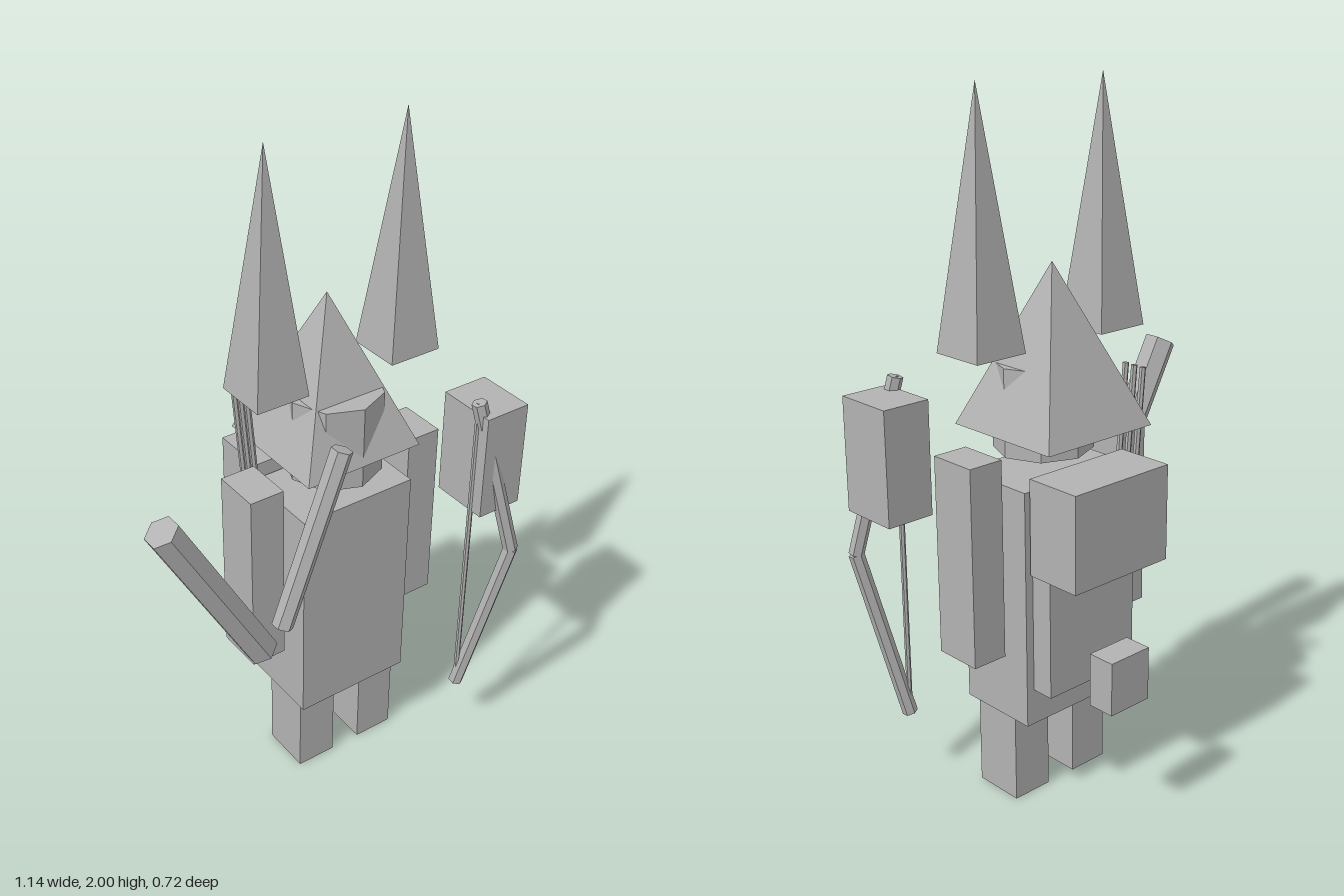
import * as THREE from 'three';

const stone = new THREE.MeshStandardMaterial({ color: 0xb2b2b2 });
stone.name = 'stone grey';

export function createModel() {
  const model = new THREE.Group();
  model.name = 'archer';
  const midX = 0.117; // the body's own centre line

  // Adds a mesh with faceted normals
  const add = (name, geometry) => {
    const flat = geometry.index ? geometry.toNonIndexed() : geometry;
    flat.computeVertexNormals();
    const mesh = new THREE.Mesh(flat, stone);
    mesh.name = name;
    model.add(mesh);
    return mesh;
  };

  // Box given by its extents on each axis
  const box = (name, [x0, x1], [y0, y1], [z0, z1]) =>
    add(name, new THREE.BoxGeometry(x1 - x0, y1 - y0, z1 - z0))
      .position.set((x0 + x1) / 2, (y0 + y1) / 2, (z0 + z1) / 2);

  // Square pyramid standing on y0
  const pyramid = (name, x, z, half, y0, y1) =>
    add(name, new THREE.ConeGeometry(half * Math.SQRT2, y1 - y0, 4).rotateY(Math.PI / 4))
      .position.set(x, (y0 + y1) / 2, z);

  // Six-sided rod between two points
  const rod = (name, from, to, radius) => {
    const a = new THREE.Vector3(...from), b = new THREE.Vector3(...to);
    const dir = b.clone().sub(a);
    const mesh = add(name, new THREE.CylinderGeometry(radius, radius, dir.length(), 6));
    mesh.position.copy(a).add(b).multiplyScalar(0.5);
    mesh.quaternion.setFromUnitVectors(new THREE.Vector3(0, 1, 0), dir.normalize());
  };

  // Torso, head and hat
  box('torso', [-0.069, 0.299], [0.265, 0.955], [-0.097, 0.155]);
  add('head', new THREE.CylinderGeometry(0.138, 0.138, 0.248, 8)).position.set(midX, 1.134, 0.029);
  pyramid('hat', midX, -0.011, 0.187, 1.083, 1.53);

  // Limbs and ears, one of each per side
  for (const [side, s] of [['left', 1], ['right', -1]]) {
    const span = (centre, half) => [midX + s * centre - half, midX + s * centre + half];
    box(side + 'Leg', span(0.11, 0.062), [0, 0.265], [-0.033, 0.121]);
    box(side + 'Arm', span(0.268, 0.053), [0.475, 1.043], [-0.046, 0.1]);
    pyramid(side + 'Ear', midX + s * 0.217, 0.023, 0.081, 1.316, 1.998);
  }

  // Gear on the back
  box('backPlate', [-0.04, 0.274], [0.37, 0.87], [-0.165, -0.097]);
  box('backpack', [-0.053, 0.288], [0.72, 0.995], [-0.278, -0.105]);
  box('pouch', [0.097, 0.236], [0.382, 0.535], [-0.36, -0.278]);
  for (const z of [-0.14, -0.108, -0.076])
    rod('arrow', [-0.06, 0.83, z], [-0.095, 1.228, z], 0.009);

  // Bow with its hand block
  const top = [0.427, 1.222, 0.27], grip = [0.538, 0.72, 0.335], tip = [0.427, 0.212, 0.27];
  rod('upperBowLimb', grip, top, 0.022);
  rod('lowerBowLimb', tip, grip, 0.022);
  rod('bowString', tip, top, 0.008);
  box('handBlock', [0.426, 0.569], [0.864, 1.188], [0.132, 0.313]);

  // Raised staffs on the right
  rod('thickStaff', [-0.245, 0.633, 0.204], [-0.532, 1.157, 0.204], 0.048);
  rod('thinStaff', [-0.175, 0.68, 0.203], [0.017, 1.19, 0.203], 0.031);

  return model;
}
